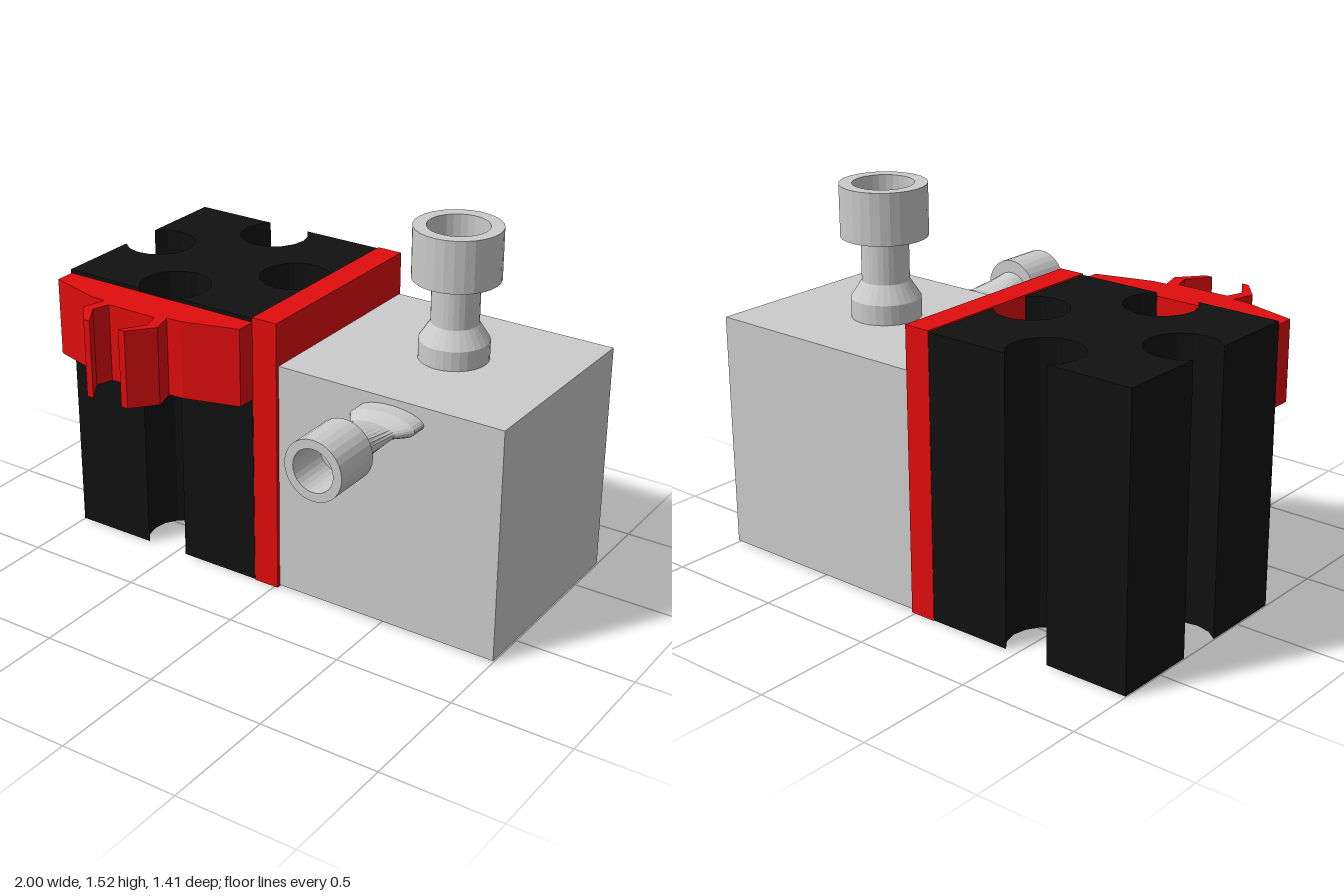
import * as THREE from 'three';

const mat = (color) => new THREE.MeshStandardMaterial({ color, flatShading: true });

// Extrudes an outline of [x, z] points upward from y0 to y1
function prism(outline, y0, y1) {
  const shape = new THREE.Shape(outline.map(([x, z]) => new THREE.Vector2(x, -z)));
  return new THREE.ExtrudeGeometry(shape, { depth: y1 - y0, bevelEnabled: false })
    .rotateX(-Math.PI / 2).translate(0, y0, 0);
}

function box(x0, x1, y0, y1, z0, z1) {
  return new THREE.BoxGeometry(x1 - x0, y1 - y0, z1 - z0)
    .translate((x0 + x1) / 2, (y0 + y1) / 2, (z0 + z1) / 2);
}

// Turned port along +y; each station is [half width, height, half depth if oval]
function port(stations) {
  const geo = new THREE.LatheGeometry(stations.map(([r, y]) => new THREE.Vector2(r, y)), 28);
  const pos = geo.attributes.position;
  for (let i = 0; i < pos.count; i++) {
    const [r, , depth] = stations[i % stations.length];
    if (depth !== undefined) pos.setZ(i, pos.getZ(i) * depth / r);
  }
  return geo;
}

// Square block outline with a round notch breaking through each side
function notchedSquare(cx, cz, half, offset, r) {
  const pts = [];
  const a = Math.acos((half - offset) / r), steps = 12;
  for (let k = 0; k < 4; k++) {
    const c = Math.round(Math.cos(k * Math.PI / 2)), s = Math.round(Math.sin(k * Math.PI / 2));
    const add = (x, z) => pts.push([cx + x * c - z * s, cz + x * s + z * c]);
    add(half, -half);
    for (let i = 0; i <= steps; i++) {
      const t = -a - (2 * Math.PI - 2 * a) * i / steps;
      add(offset + r * Math.cos(t), r * Math.sin(t));
    }
  }
  return pts;
}

export function createModel() {
  const model = new THREE.Group();
  const grey = mat(0xcccccc), red = mat(0xe00d0d), black = mat(0x111111);
  const add = (name, geo, material) => {
    const mesh = new THREE.Mesh(geo, material);
    mesh.name = name;
    model.add(mesh);
    return mesh;
  };

  // Main bodies
  add('greyBlock', box(0.018, 1, 0.008, 0.98, -0.695, 0.185), grey);
  add('dividerPlate', box(-0.095, 0.016, 0, 1.16, -0.705, 0.198), red);
  add('notchedBlock', prism(notchedSquare(-0.548, -0.254, 0.451, 0.342, 0.145), 0.003, 1.155), black);

  // Clip with two mirrored claws
  const mid = -0.545;
  const halfClip = [[0.45, 0.197], [0.45, 0.28], [0.22, 0.345], [0.155, 0.348], [0.182, 0.44],
    [0.1, 0.538], [0.07, 0.538], [0.135, 0.44], [0.113, 0.37]];
  const clip = [
    ...halfClip.map(([x, z]) => [mid + x, z]),
    ...[...halfClip].reverse().map(([x, z]) => [mid - x, z]),
  ];
  add('frontClip', prism(clip, 0.815, 1.14), red);

  // Top port with a hollow cup
  add('topPort', port([[0.14, 0], [0.14, 0.08], [0.095, 0.15], [0.095, 0.33], [0.174, 0.33],
    [0.174, 0.54], [0.122, 0.54], [0.122, 0.36], [0, 0.36]]), grey)
    .position.set(0.526, 0.98, -0.27);

  // Front port, flattened where it meets the block
  const front = port([[0.141, 0, 0.047], [0.141, 0.065, 0.047], [0.095, 0.13, 0.03],
    [0.079, 0.317, 0.068], [0.121, 0.317], [0.121, 0.52], [0.085, 0.52], [0.085, 0.35], [0, 0.35]]);
  add('frontPort', front.rotateX(Math.PI / 2), grey).position.set(0.526, 0.905, 0.185);

  return model;
}
